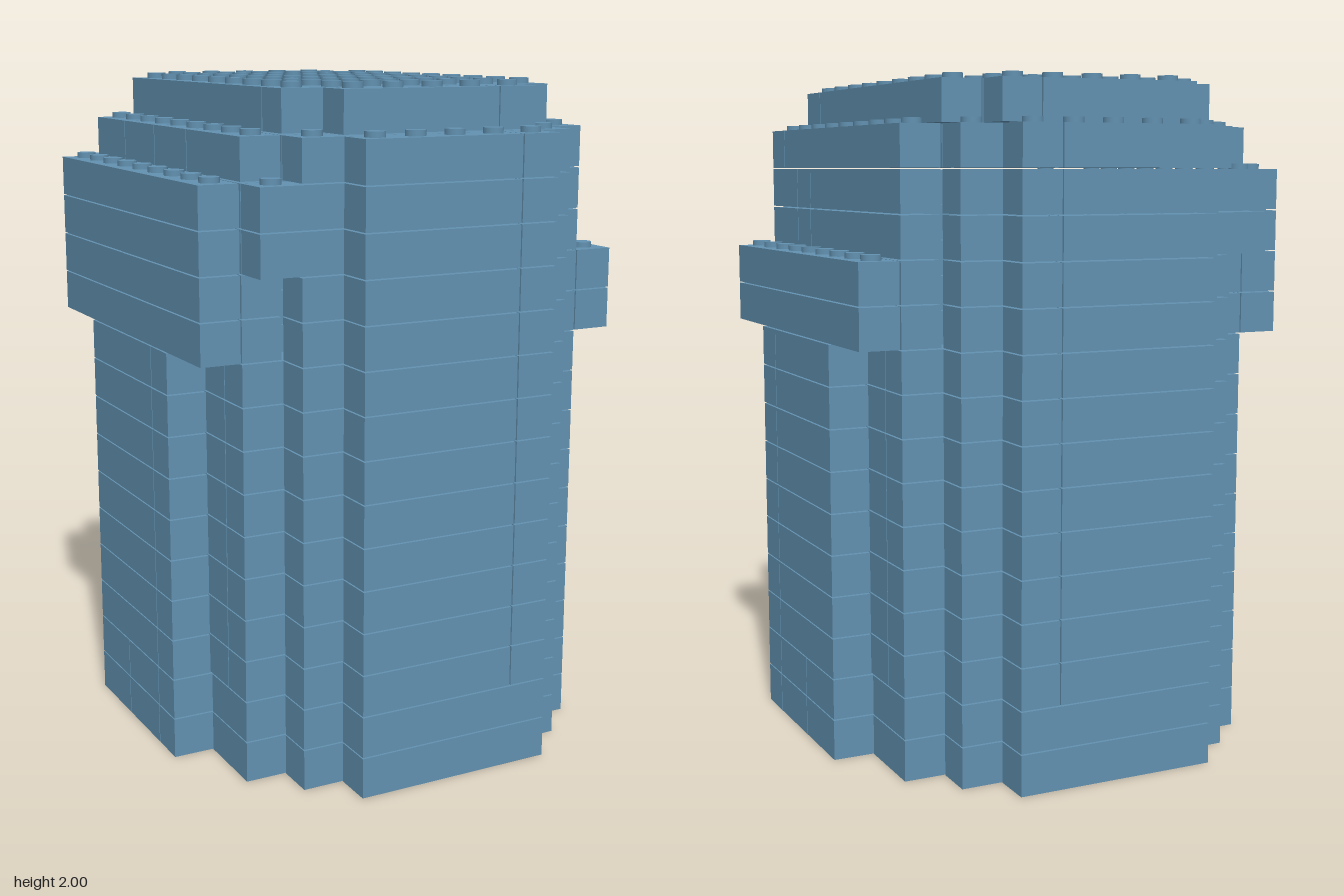
import * as THREE from 'three';

const U = 0.1238;   // stud pitch
const H = 0.1241;   // brick layer height
const GAP = 0.004;  // seam between bricks

export function createModel() {
  const root = new THREE.Group();
  root.name = 'brickTower';
  const blue = new THREE.MeshStandardMaterial({ color: 0x6291b0 });
  blue.name = 'dusty blue';

  // One brick covering whole stud cells x0..x1, z0..z1, from layer y0 up to y1
  function brick(group, x0, x1, z0, z1, y0, y1 = y0 + 1) {
    const g = new THREE.BoxGeometry((x1 - x0 + 1) * U - GAP, (y1 - y0) * H - GAP, (z1 - z0 + 1) * U - GAP);
    const m = new THREE.Mesh(g, blue);
    m.name = 'brick';
    m.position.set((x0 + x1) / 2 * U, (y0 + y1) / 2 * H, (z0 + z1) / 2 * U);
    group.add(m);
  }
  function part(name) {
    const g = new THREE.Group();
    g.name = name;
    root.add(g);
    return g;
  }

  // Solid base, two layers of planks
  const base = part('base');
  const planks = [[-6, -6, 2], [-5, -5, 3], [-4, -3, 4], [-2, -1, 5], [0, 1, 5], [2, 2, 5], [3, 4, 4], [5, 5, 3], [6, 6, 2]];
  for (let y = 0; y < 2; y++)
    for (const [z0, z1, w] of planks) brick(base, -w, w, z0, z1, y);

  // Hollow stepped walls
  const walls = part('walls');
  for (let y = 2; y < 14; y++) {
    for (const s of [-1, 1]) {
      // front and back faces
      brick(walls, -2, 1, 6 * s, 6 * s, y);
      brick(walls, 2, 2, 6 * s, 6 * s, y);
      brick(walls, y >= 12 ? -4 : -3, 1, 5 * s, 5 * s, y);
      brick(walls, 2, 3, 5 * s, 5 * s, y);
      // sides
      if (y < 10) {
        brick(walls, s < 0 ? -4 : 3, s < 0 ? -3 : 4, 4, 4, y);
        brick(walls, s < 0 ? -4 : 3, s < 0 ? -3 : 4, -4, -4, y);
        brick(walls, 4 * s, 4 * s, -3, 3, y);
        brick(walls, 5 * s, 5 * s, -2, 1, y);
        brick(walls, 5 * s, 5 * s, 2, 2, y);
      } else {
        brick(walls, 4 * s, 4 * s, -4, 1, y);
        brick(walls, 4 * s, 4 * s, 2, 2, y);
        brick(walls, 4 * s, 4 * s, 3, 4, y);
      }
    }
  }

  // Overhanging side ledges: two layers on the left, four on the right
  const leftLedge = part('leftLedge');
  for (let y = 10; y < 12; y++) brick(leftLedge, 5, 5, -4, 4, y);
  const rightLedge = part('rightLedge');
  for (let y = 10; y < 14; y++) brick(rightLedge, -5, -5, -4, 4, y);

  // Lower roof layer
  const lowerRoof = part('lowerRoof');
  for (const s of [-1, 1]) {
    brick(lowerRoof, -2, 1, 6 * s, 6 * s, 14);
    brick(lowerRoof, 2, 2, 6 * s, 6 * s, 14);
    brick(lowerRoof, -3, 1, 5 * s, 5 * s, 14);
    brick(lowerRoof, 2, 3, 5 * s, 5 * s, 14);
  }
  for (const [a, b] of [[-4, -3], [-2, -1], [0, 1], [2, 4]]) brick(lowerRoof, -4, -4, a, b, 14);
  brick(lowerRoof, 4, 4, -4, 3, 14);
  brick(lowerRoof, 4, 4, 4, 4, 14);
  brick(lowerRoof, -3, 3, -4, 4, 14);

  // Upper roof layer
  const upperRoof = part('upperRoof');
  for (const [a, b] of [[-3, -2], [-1, 0], [1, 2], [3, 3]]) brick(upperRoof, a, b, -4, 3, 15);
  brick(upperRoof, -3, 2, 4, 4, 15);
  brick(upperRoof, 3, 3, 4, 4, 15);
  for (const s of [-1, 1]) {
    brick(upperRoof, -2, 1, 5 * s, 5 * s, 15);
    brick(upperRoof, 2, 2, 5 * s, 5 * s, 15);
  }

  // Studs on every exposed cell: layer count of the column, 0 outside
  function columnTop(x, z) {
    const ax = Math.abs(x), az = Math.abs(z);
    if (az === 6) return ax <= 2 ? 15 : 0;
    if (az === 5) return ax <= 2 ? 16 : ax === 3 ? 15 : x === -4 ? 14 : 0;
    return ax <= 3 ? 16 : ax === 4 ? 15 : x < 0 ? 14 : 12;
  }
  const studs = part('studs');
  const studGeo = new THREE.CylinderGeometry(0.029, 0.029, 0.019, 16);
  for (let x = -5; x <= 5; x++)
    for (let z = -6; z <= 6; z++) {
      const top = columnTop(x, z);
      if (!top) continue;
      const m = new THREE.Mesh(studGeo, blue);
      m.name = 'stud';
      m.position.set(x * U, top * H + 0.005, z * U);
      studs.add(m);
    }

  return root;
}
